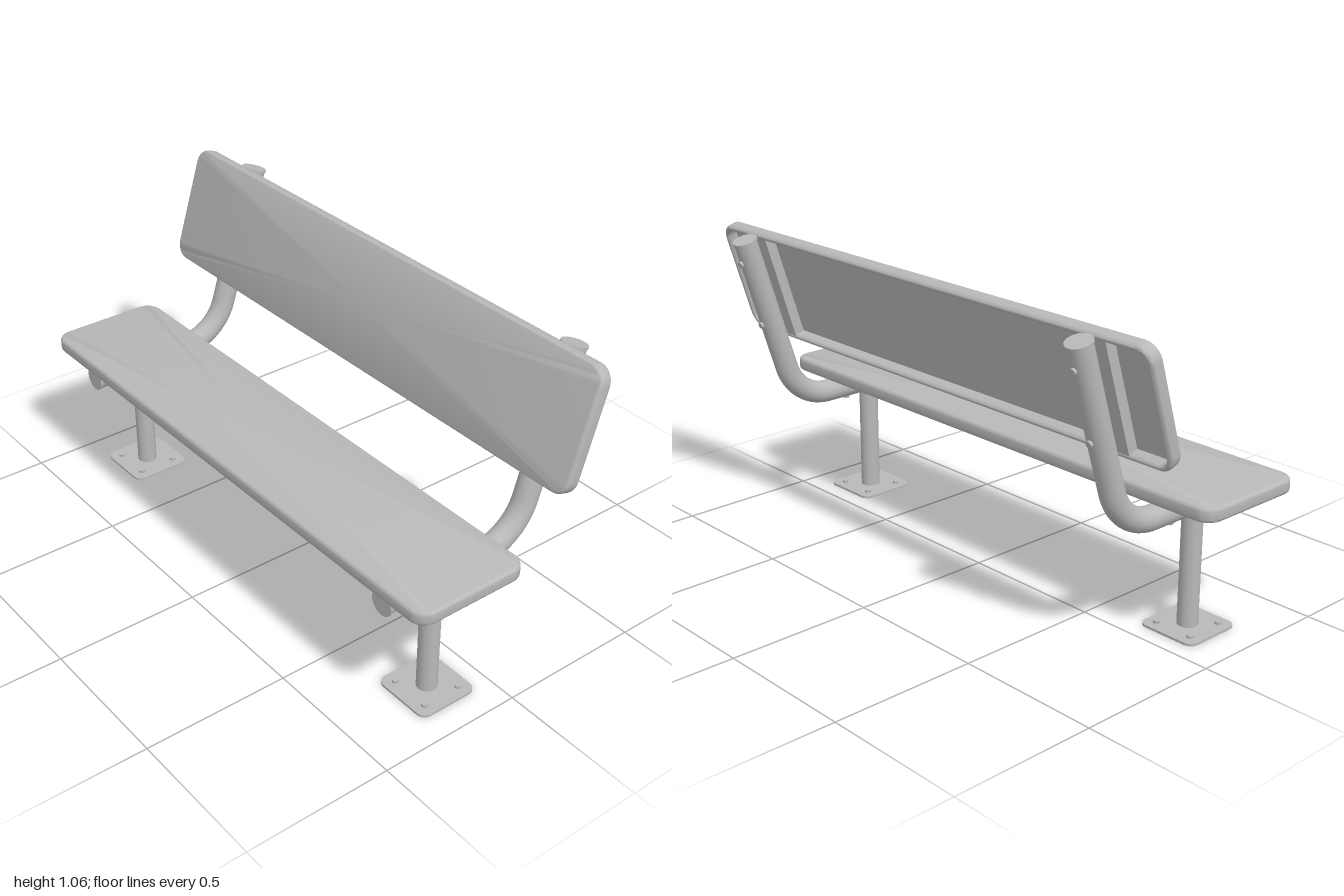
import * as THREE from 'three';
import { toCreasedNormals } from 'three/addons/utils/BufferGeometryUtils.js';

const steel = new THREE.MeshStandardMaterial({ color: 0xb8b8b8 });
steel.name = 'grey steel';

const TILT = THREE.MathUtils.degToRad(17.3);
const UP = new THREE.Vector3(0, Math.cos(TILT), -Math.sin(TILT)); // along the back post
const REAR = new THREE.Vector3(0, -Math.sin(TILT), -Math.cos(TILT)); // out of its rear
const THICK = 0.048;

function add(parent, name, geometry, position = [0, 0, 0]) {
  const mesh = new THREE.Mesh(geometry, steel);
  mesh.name = name;
  mesh.position.set(...position);
  parent.add(mesh);
  return mesh;
}

// Cylinder whose axis points along dir
function disc(parent, name, radius, height, position, dir) {
  const mesh = add(parent, name, new THREE.CylinderGeometry(radius, radius, height, 24), position);
  mesh.quaternion.setFromUnitVectors(new THREE.Vector3(0, 1, 0), dir);
  return mesh;
}

// Outline of a rounded rectangle as [x, z] points
function outline(hx, hz, r, steps = 8) {
  const pts = [];
  [[1, 1], [-1, 1], [-1, -1], [1, -1]].forEach(([sx, sz], q) => {
    for (let i = 0; i <= steps; i++) {
      const a = (q + i / steps) * Math.PI / 2;
      pts.push([sx * (hx - r) + r * Math.cos(a), sz * (hz - r) + r * Math.sin(a)]);
    }
  });
  return pts;
}

// Pressed pan: rounded-rectangle loops swept along an [inset, height] profile, hollow below
function panGeometry(hx, hz, r) {
  const e = 0.012, profile = [];
  for (let i = 0; i <= 4; i++) {
    const a = i / 4 * Math.PI / 2;
    profile.push([e * (1 - Math.sin(a)), THICK - e * (1 - Math.cos(a))]);
  }
  for (let i = 0; i <= 6; i++) {
    const a = i / 6 * Math.PI;
    profile.push([0.01 * (1 - Math.cos(a)), 0.01 * (1 - Math.sin(a))]);
  }
  profile.push([0.02, THICK - 0.01]);
  const pos = [], index = [];
  let n = 0;
  profile.forEach(([d, y]) => {
    const ring = outline(hx - d, hz - d, r - d);
    n = ring.length;
    ring.forEach(([x, z]) => pos.push(x, y, z));
  });
  const top = profile.length * n, last = (profile.length - 1) * n;
  pos.push(0, THICK, 0, 0, THICK - 0.01, 0);
  for (let j = 0; j < n; j++) {
    const k = (j + 1) % n;
    for (let i = 0; i < profile.length - 1; i++) {
      const a = i * n + j, b = i * n + k;
      index.push(a, b, a + n, b, b + n, a + n);
    }
    index.push(top, k, j, top + 1, last + j, last + k);
  }
  const g = new THREE.BufferGeometry();
  g.setAttribute('position', new THREE.Float32BufferAttribute(pos, 3));
  g.setIndex(index);
  return toCreasedNormals(g, 0.7);
}

function pan(name, postX) {
  const group = new THREE.Group();
  group.name = name;
  add(group, name + 'Pan', panGeometry(1, 0.205, 0.055));
  // stiffening channels where the posts bolt on
  postX.forEach(x => add(group, name + 'Bracket',
    new THREE.BoxGeometry(0.11, THICK - 0.012, 0.38), [x, (THICK - 0.012) / 2 + 0.002, 0]));
  return group;
}

function support(x) {
  const group = new THREE.Group();
  group.name = 'support';
  group.position.x = x;

  // bent tube carrying seat and backrest
  const top = new THREE.Vector3(0, 1.035, -0.345);
  const start = new THREE.Vector3(0, 0.424, -0.02);
  const corner = new THREE.Vector3(0, 0.424, -0.155);
  const end = corner.clone().addScaledVector(UP, 0.135);
  const path = new THREE.CurvePath();
  path.add(new THREE.LineCurve3(new THREE.Vector3(0, 0.424, 0.36), start));
  path.add(new THREE.CubicBezierCurve3(start, new THREE.Vector3(0, 0.424, -0.1),
    end.clone().addScaledVector(UP, -0.08), end));
  path.add(new THREE.LineCurve3(end, top));
  add(group, 'bentTube', new THREE.TubeGeometry(path, 72, 0.04, 28));
  disc(group, 'frontCap', 0.043, 0.008, [0, 0.424, 0.362], new THREE.Vector3(0, 0, 1));
  disc(group, 'topCap', 0.043, 0.008, top.toArray(), UP);

  // bolts through the tube
  const down = new THREE.Vector3(0, -1, 0);
  [0.283, 0.068].forEach(z => disc(group, 'seatBolt', 0.011, 0.016, [0, 0.385, z], down));
  [0.07, 0.31].forEach(s => {
    const p = top.clone().addScaledVector(UP, -s).addScaledVector(REAR, 0.04);
    disc(group, 'backBolt', 0.011, 0.016, p.toArray(), REAR);
  });

  // leg with bolted foot plate
  add(group, 'leg', new THREE.CylinderGeometry(0.034, 0.034, 0.4, 28), [0, 0.204, 0.172]);
  const shape = new THREE.Shape(outline(0.108, 0.108, 0.03).map(p => new THREE.Vector2(...p)));
  const plate = new THREE.ExtrudeGeometry(shape, { depth: 0.008, bevelEnabled: false });
  add(group, 'footPlate', plate.rotateX(-Math.PI / 2), [0, 0, 0.172]);
  for (const sx of [-1, 1]) for (const sz of [-1, 1]) {
    add(group, 'footBolt', new THREE.CylinderGeometry(0.011, 0.011, 0.012, 16),
      [sx * 0.068, 0.011, 0.172 + sz * 0.068]);
  }
  return group;
}

export function createModel() {
  const model = new THREE.Group();
  model.name = 'bench';
  const postX = [-0.78, 0.8];

  const seat = pan('seat', postX);
  seat.position.set(0, 0.463, 0.186);
  const back = pan('backrest', postX);
  back.position.set(0, 0.858, -0.246);
  back.rotation.x = Math.PI / 2 - TILT;
  model.add(seat, back);

  postX.forEach(x => model.add(support(x)));
  return model;
}
